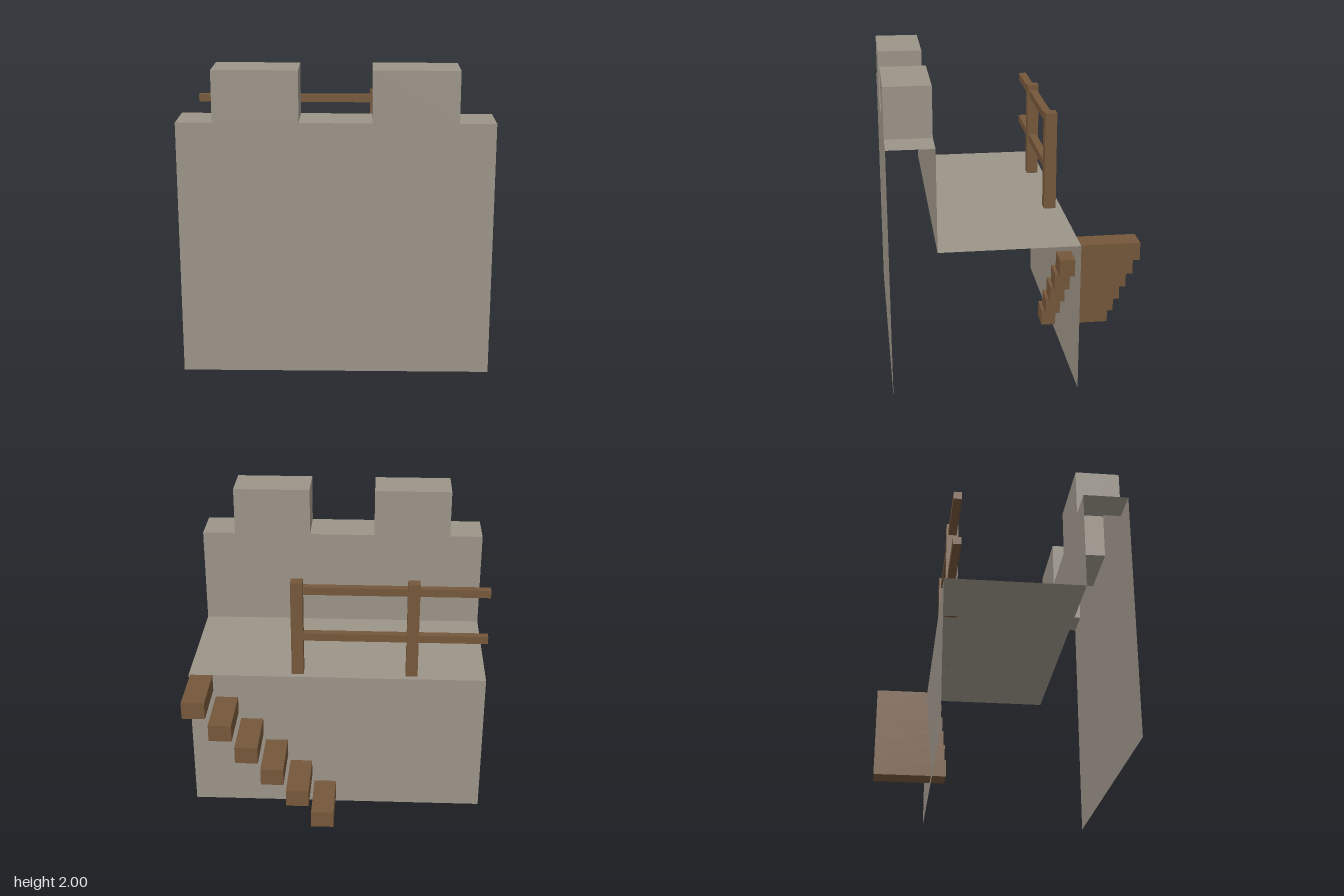
import * as THREE from 'three';

export function createModel() {
  const model = new THREE.Group();
  const stone = new THREE.MeshStandardMaterial({ color: 0x9c9488, side: THREE.DoubleSide });
  stone.name = 'stone';
  const wood = new THREE.MeshStandardMaterial({ color: 0x75573a });
  wood.name = 'wood';

  const WALL_TOP = 1.67, MERLON_TOP = 2, FLOOR = 1;
  const FRONT = 0.79, INNER = 0.49, BACK = -0.41;

  const add = (name, geometry, material, parent = model) => {
    const mesh = new THREE.Mesh(geometry, material);
    mesh.name = name;
    parent.add(mesh);
    return mesh;
  };

  // Box given by its lower and upper corners
  const box = (name, [x0, y0, z0], [x1, y1, z1], parent) => {
    const mesh = add(name, new THREE.BoxGeometry(x1 - x0, y1 - y0, z1 - z0), wood, parent);
    mesh.position.set((x0 + x1) / 2, (y0 + y1) / 2, (z0 + z1) / 2);
  };

  // Horizontal sheet facing up
  const deck = (name, x0, x1, z0, z1, y) => {
    const geometry = new THREE.PlaneGeometry(x1 - x0, z1 - z0).rotateX(-Math.PI / 2);
    add(name, geometry, stone).position.set((x0 + x1) / 2, y, (z0 + z1) / 2);
  };

  // Battlement outline, from the left end of the wall top to the right
  const crest = [
    [-1, WALL_TOP], [-0.77, WALL_TOP], [-0.77, MERLON_TOP], [-0.23, MERLON_TOP], [-0.23, WALL_TOP],
    [0.23, WALL_TOP], [0.23, MERLON_TOP], [0.77, MERLON_TOP], [0.77, WALL_TOP], [1, WALL_TOP],
  ];
  const crestSheet = (bottom) => new THREE.ShapeGeometry(new THREE.Shape(
    [[1, bottom], ...crest.slice().reverse(), [-1, bottom]].map(([x, y]) => new THREE.Vector2(x, y))));

  // Outer and inner faces of the battlement, open at both ends
  add('frontWall', crestSheet(0).translate(0, 0, FRONT), stone);
  add('parapetInnerFace', crestSheet(FLOOR).rotateY(Math.PI).translate(0, 0, INNER), stone);

  // Tops and sides of the merlons and gaps
  const depth = FRONT - INNER, midZ = (FRONT + INNER) / 2;
  for (let i = 0; i < crest.length - 1; i++) {
    const [x0, y0] = crest[i], [x1, y1] = crest[i + 1];
    if (y0 === y1) {
      deck(y0 === MERLON_TOP ? 'merlonTop' : 'parapetTop', x0, x1, INNER, FRONT, y0);
    } else {
      const side = new THREE.PlaneGeometry(depth, MERLON_TOP - WALL_TOP);
      side.rotateY(y1 > y0 ? -Math.PI / 2 : Math.PI / 2);
      add('merlonSide', side, stone).position.set(x0, (y0 + y1) / 2, midZ);
    }
  }

  // Walkway and back wall
  deck('walkway', -1, 1, BACK, INNER, FLOOR);
  add('backWall', new THREE.PlaneGeometry(2, FLOOR).rotateY(Math.PI), stone).position.set(0, FLOOR / 2, BACK);

  // Floating steps; all but the top one are set through the wall
  const stairs = new THREE.Group();
  stairs.name = 'stairs';
  model.add(stairs);
  for (let i = 0; i < 6; i++) {
    const x = 0.005 + i * 0.1667, top = (i + 1) / 6;
    box('step', [x, top - 0.117, -0.79], [x + 0.152, top, i === 5 ? BACK : -0.31], stairs);
  }

  // Railing
  const railing = new THREE.Group();
  railing.name = 'railing';
  model.add(railing);
  for (const x of [-0.503, 0.265]) {
    box('railPost', [x - 0.04, FLOOR, -0.37], [x + 0.04, WALL_TOP, -0.29], railing);
  }
  for (const y of [1.275, 1.61]) {
    box('rail', [-1, y - 0.026, -0.357], [0.265, y + 0.026, -0.303], railing);
  }

  return model;
}
